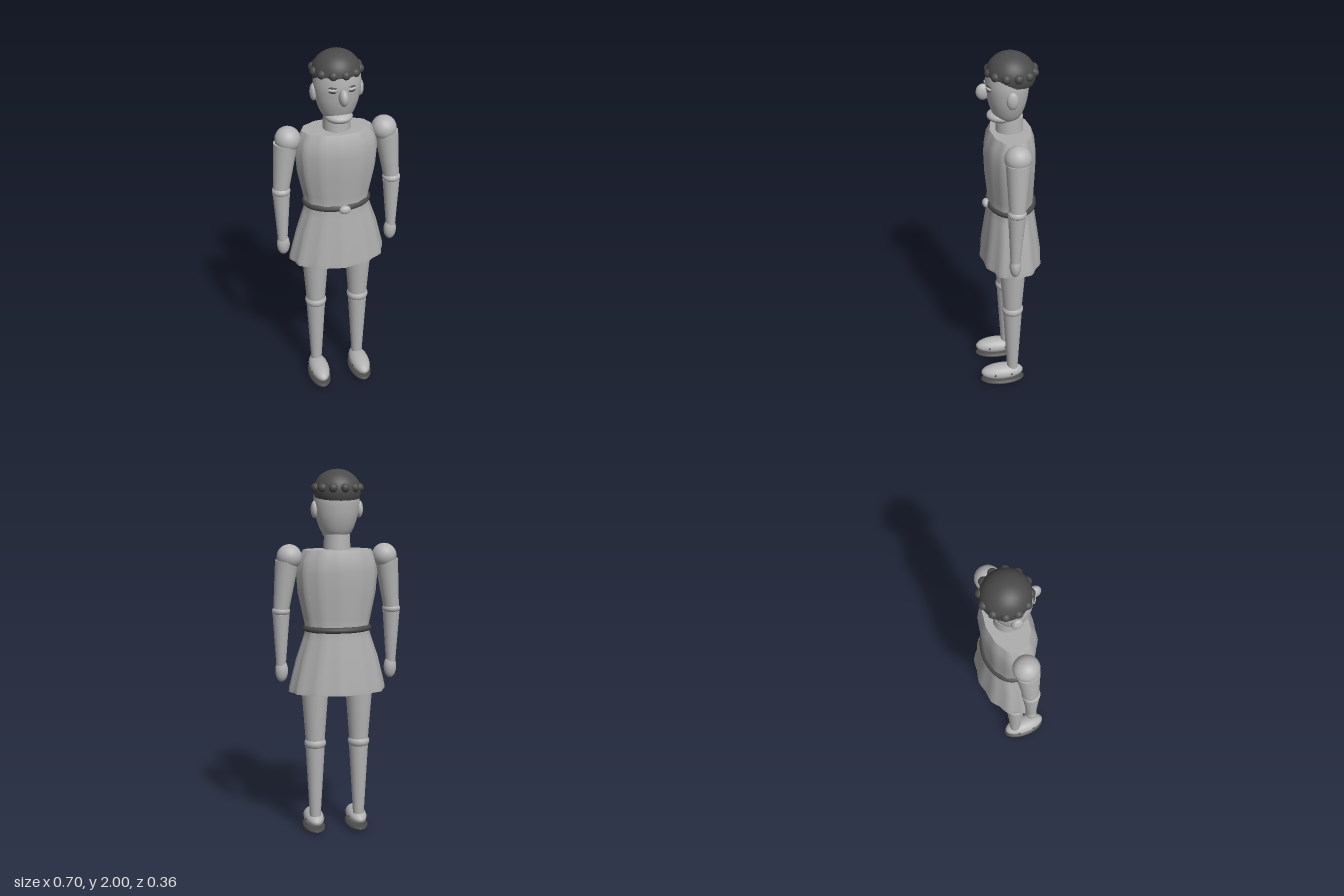
import * as THREE from 'three';

const mat = (name, color, side = THREE.FrontSide) => {
  const m = new THREE.MeshStandardMaterial({ color, side });
  m.name = name;
  return m;
};

export function createModel() {
  const root = new THREE.Group();
  root.name = 'jointedFigure';
  const skin = mat('skin', 0xb4b4b4);
  const cloth = mat('cloth', 0xadadad, THREE.DoubleSide);
  const dark = mat('dark', 0x4a4a4a, THREE.DoubleSide);

  const add = (parent, name, geo, material, x = 0, y = 0, z = 0) => {
    const mesh = new THREE.Mesh(geo, material);
    mesh.name = name;
    mesh.position.set(x, y, z);
    parent.add(mesh);
    return mesh;
  };
  const ball = (parent, name, material, p, r, seg = 24) =>
    add(parent, name, new THREE.SphereGeometry(1, seg, Math.ceil(seg * 0.7)).scale(...r), material, ...p);
  // Tapered limb between two points
  const limb = (parent, name, a, b, ra, rb) => {
    const A = new THREE.Vector3(...a), B = new THREE.Vector3(...b);
    const mesh = add(parent, name, new THREE.CylinderGeometry(ra, rb, A.distanceTo(B), 24), skin);
    mesh.position.copy(A).add(B).multiplyScalar(0.5);
    mesh.quaternion.setFromUnitVectors(new THREE.Vector3(0, 1, 0), A.sub(B).normalize());
    return mesh;
  };

  // Pleated oval cross-sections joined into a surface: [y, rx, rz, z, pleat depth]
  const loft = (rows) => {
    const n = 48, pos = [], idx = [];
    rows.forEach(([y, rx, rz, z, pleat], j) => {
      for (let i = 0; i < n; i++) {
        const t = (i / n) * Math.PI * 2;
        const f = 1 - pleat * (1 - Math.cos(12 * t)) / 2;
        pos.push(Math.sin(t) * rx * f, y, z + Math.cos(t) * rz * f);
        if (j) {
          const k = (i + 1) % n, a = (j - 1) * n, b = j * n;
          idx.push(a + i, a + k, b + k, a + i, b + k, b + i);
        }
      }
    });
    const g = new THREE.BufferGeometry();
    g.setAttribute('position', new THREE.Float32BufferAttribute(pos, 3));
    g.setIndex(idx);
    g.computeVertexNormals();
    return g;
  };

  // Tunic, open at the hem
  add(root, 'tunic', loft([
    [0.815, 0.267, 0.17, -0.01, 0.06],
    [0.84, 0.265, 0.168, -0.01, 0.06],
    [1.0, 0.225, 0.145, -0.01, 0.05],
    [1.1, 0.19, 0.13, -0.01, 0.04],
    [1.16, 0.172, 0.12, -0.01, 0.03],
    [1.22, 0.185, 0.124, -0.01, 0.03],
    [1.35, 0.213, 0.133, -0.006, 0.04],
    [1.46, 0.222, 0.137, -0.006, 0.04],
    [1.53, 0.212, 0.127, -0.008, 0.04],
    [1.58, 0.185, 0.107, -0.012, 0.04],
  ]), cloth);
  add(root, 'tunicTop', loft([[1.58, 0.185, 0.107, -0.012, 0.04], [1.583, 0.03, 0.03, -0.01, 0]]), cloth);

  // Belt and buckle
  const oval = Array.from({ length: 32 }, (_, i) => {
    const t = (i / 32) * Math.PI * 2;
    return new THREE.Vector3(Math.sin(t) * 0.17, 1.16, -0.012 + Math.cos(t) * 0.118);
  });
  add(root, 'belt', new THREE.TubeGeometry(new THREE.CatmullRomCurve3(oval, true), 64, 0.016, 10, true), dark);
  ball(root, 'buckle', skin, [0.012, 1.157, 0.122], [0.031, 0.024, 0.02]);

  // Arms and legs, mirrored
  for (const s of [1, -1]) {
    const arm = new THREE.Group();
    arm.name = s > 0 ? 'leftArm' : 'rightArm';
    root.add(arm);
    ball(arm, 'shoulder', skin, [s * 0.257, 1.543, -0.01], [0.067, 0.067, 0.069]);
    limb(arm, 'upperArm', [s * 0.27, 1.52, -0.008], [s * 0.302, 1.26, 0], 0.063, 0.042);
    ball(arm, 'elbow', skin, [s * 0.302, 1.255, 0.002], [0.049, 0.032, 0.049]);
    limb(arm, 'forearm', [s * 0.302, 1.24, 0.002], [s * 0.304, 0.96, 0.01], 0.046, 0.026);
    ball(arm, 'hand', skin, [s * 0.301, 0.93, 0.01], [0.035, 0.062, 0.03]);

    const leg = new THREE.Group();
    leg.name = s > 0 ? 'leftLeg' : 'rightLeg';
    root.add(leg);
    limb(leg, 'thigh', [s * 0.122, 0.88, -0.005], [s * 0.122, 0.53, -0.005], 0.078, 0.052);
    ball(leg, 'knee', skin, [s * 0.122, 0.52, -0.005], [0.06, 0.042, 0.06]);
    limb(leg, 'shin', [s * 0.122, 0.5, -0.005], [s * 0.123, 0.09, -0.005], 0.053, 0.03);
    ball(leg, 'foot', skin, [s * 0.122, 0.072, 0.055], [0.055, 0.045, 0.122]);
    ball(leg, 'sole', dark, [s * 0.122, 0.024, 0.053], [0.062, 0.02, 0.127]);
    for (const e of [1, -1])
      for (const z of [0.1, 0.005])
        ball(leg, 'shoeStud', dark, [s * 0.122 + e * 0.05, 0.078, z], [0.006, 0.006, 0.006], 8);
  }

  // Neck, head and jaw
  add(root, 'neck', new THREE.CylinderGeometry(0.069, 0.073, 0.12, 28), skin, 0, 1.6, -0.006);
  const profile = new THREE.SplineCurve([
    [0, 1.63], [0.045, 1.637], [0.08, 1.67], [0.105, 1.73], [0.118, 1.79],
    [0.122, 1.85], [0.108, 1.92], [0.06, 1.96], [0, 1.97],
  ].map(([r, y]) => new THREE.Vector2(r, y))).getPoints(32);
  profile.forEach((p) => { p.x = Math.max(p.x, 0); });
  add(root, 'head', new THREE.LatheGeometry(profile, 36).scale(1, 1, 0.9), skin, 0, 0, 0.005);
  ball(root, 'jaw', skin, [0, 1.663, 0.035], [0.072, 0.033, 0.076]);

  // Face
  ball(root, 'nose', skin, [0, 1.797, 0.128], [0.024, 0.043, 0.036]);
  for (const s of [1, -1]) {
    ball(root, 'ear', skin, [s * 0.12, 1.79, -0.004], [0.02, 0.046, 0.03]);
    ball(root, 'eye', dark, [s * 0.05, 1.824, 0.105], [0.02, 0.007, 0.008], 12).rotation.y = s * 0.4;
    ball(root, 'eyelid', skin, [s * 0.05, 1.833, 0.105], [0.024, 0.007, 0.011], 12).rotation.y = s * 0.4;
    ball(root, 'brow', dark, [s * 0.05, 1.845, 0.105], [0.022, 0.004, 0.006], 12).rotation.y = s * 0.4;
  }

  // Hair cap with a ring of curls
  const hair = new THREE.Group();
  hair.name = 'hair';
  hair.position.set(0, 1.888, -0.014);
  hair.rotation.x = -0.14;
  root.add(hair);
  add(hair, 'hairCap', new THREE.SphereGeometry(1, 36, 16, 0, Math.PI * 2, 0, Math.PI * 0.6).scale(0.125, 0.111, 0.125), dark);
  const curls = new THREE.Group();
  curls.name = 'curls';
  root.add(curls);
  for (let i = 0; i < 12; i++) {
    const t = ((i + 0.3) / 12) * Math.PI * 2;
    ball(curls, 'curl', dark, [Math.sin(t) * 0.117, 1.902, -0.016 + Math.cos(t) * 0.115], [0.024, 0.024, 0.024], 14);
  }
  return root;
}
